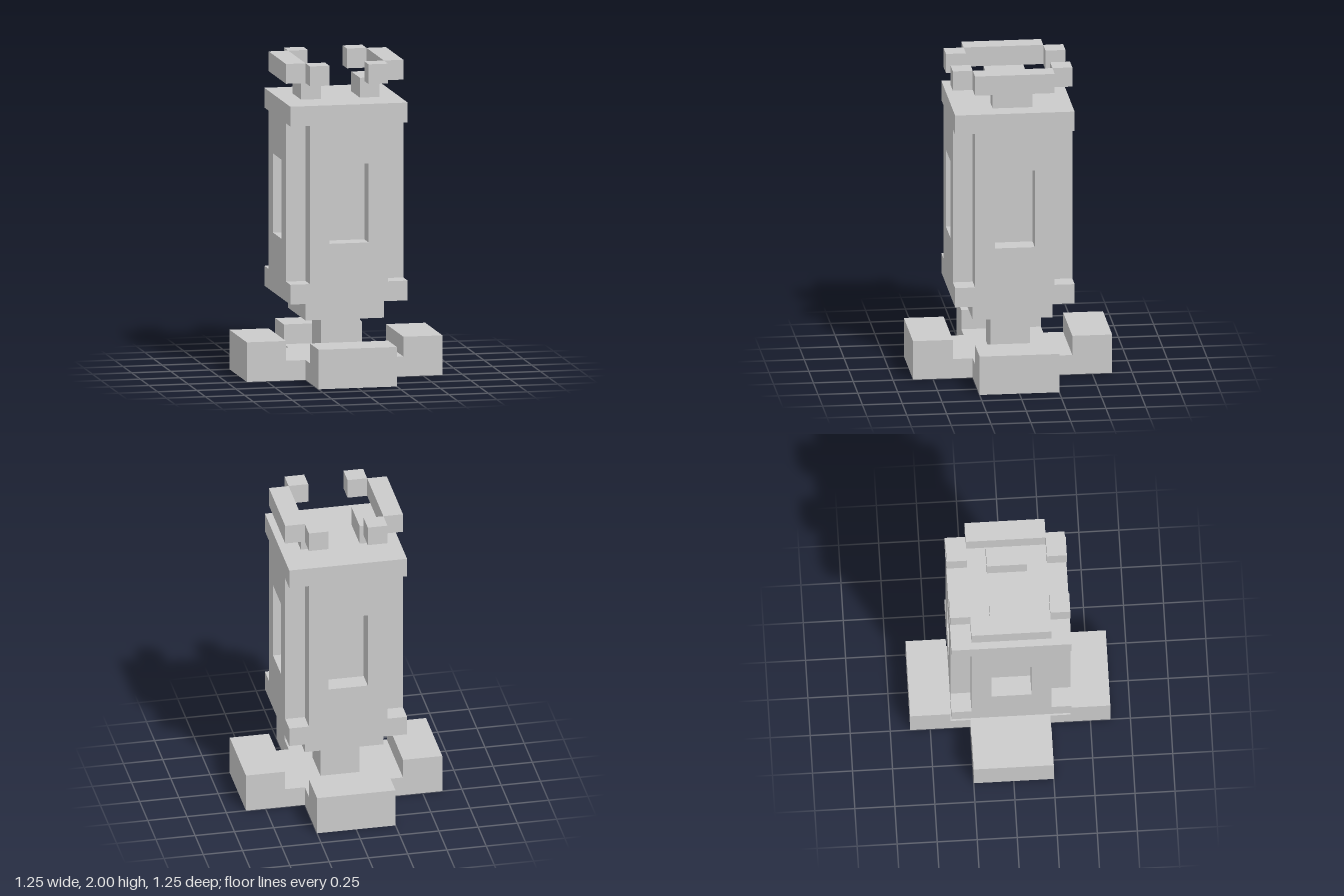
import * as THREE from 'three';

const U = 0.125; // every size is a multiple of this block unit
const material = new THREE.MeshStandardMaterial({ color: 0xcccccc, flatShading: true });

// Box given by its centre in x and z, its bottom, and its size, all in units
function block(parent, name, [x, bottom, z], [w, h, d]) {
  const mesh = new THREE.Mesh(new THREE.BoxGeometry(w * U, h * U, d * U), material);
  mesh.position.set(x * U, (bottom + h / 2) * U, z * U);
  mesh.name = name;
  parent.add(mesh);
  return mesh;
}

// Wall panel with a rectangular window opening
function wallGeometry() {
  const shape = new THREE.Shape();
  shape.moveTo(-2 * U, 5 * U).lineTo(2 * U, 5 * U).lineTo(2 * U, 13 * U).lineTo(-2 * U, 13 * U).closePath();
  const opening = new THREE.Path();
  opening.moveTo(-U, 7 * U).lineTo(-U, 11 * U).lineTo(U, 11 * U).lineTo(U, 7 * U).closePath();
  shape.holes.push(opening);
  return new THREE.ExtrudeGeometry(shape, { depth: U, bevelEnabled: false }).translate(0, 0, 2 * U);
}

export function createModel() {
  const model = new THREE.Group();
  model.name = 'tower';

  // Cross-shaped foot with a raised block at the end of each arm
  const foot = new THREE.Group();
  foot.name = 'foot';
  model.add(foot);
  block(foot, 'footCentre', [0, 0, 0], [4, 1, 4]);
  for (let i = 0; i < 4; i++) {
    const arm = new THREE.Group();
    arm.name = 'footArm';
    arm.rotation.y = i * Math.PI / 2;
    block(arm, 'armBridge', [0, 0, 2.5], [4, 1, 1]);
    block(arm, 'armEnd', [0, 0, 4], [4, 2, 2]);
    foot.add(arm);
  }

  // Neck and stepped plates under the tower
  block(model, 'neck', [0, 1, 0], [2, 2, 2]);
  block(model, 'collar', [0, 3, 0], [4, 1, 4]);
  block(model, 'lowerSlab', [0, 4, 0], [6, 1, 6]);

  // Tower body: a core with four windowed walls, leaving the corners notched
  block(model, 'bodyCore', [0, 5, 0], [4, 8, 4]);
  const wallGeo = wallGeometry();
  for (let i = 0; i < 4; i++) {
    const wall = new THREE.Mesh(wallGeo, material);
    wall.name = 'windowWall';
    wall.rotation.y = i * Math.PI / 2;
    model.add(wall);
  }
  block(model, 'upperSlab', [0, 13, 0], [6, 1, 6]);

  // Crown: on each side a low post, a bar and two corner cubes
  const crown = new THREE.Group();
  crown.name = 'crown';
  model.add(crown);
  for (const side of [-1, 1]) {
    block(crown, 'crownPost', [side * 1.5, 14, 0], [1, 1, 2]);
    block(crown, 'crownBar', [side * 2.5, 15, 0], [1, 1, 4]);
    for (const end of [-1, 1]) {
      block(crown, 'crownCube', [side * 1.5, 15, end * 2.5], [1, 1, 1]);
    }
  }
  return model;
}
